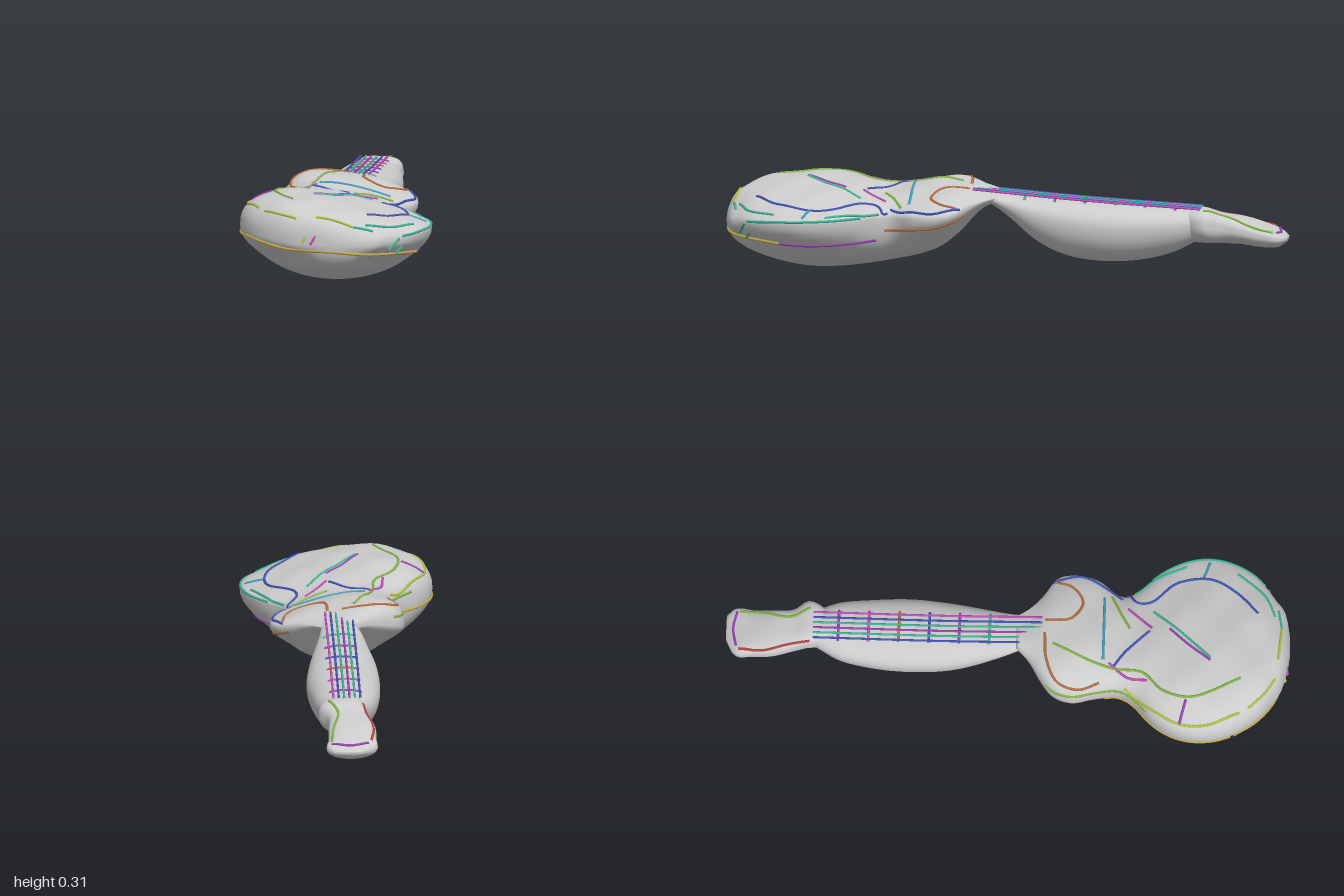
import * as THREE from 'three';

// Stations along z: [z, xLeft, xRight, yTop, yWidest, yBottom, bowl width factor (default 1)]
const BODY = [
  [0.03, -0.05, 0.07, 0.275, 0.26, 0.24], [0.08, -0.10, 0.11, 0.285, 0.25, 0.22, 0.95],
  [0.12, -0.16, 0.16, 0.295, 0.235, 0.185, 0.86], [0.16, -0.205, 0.225, 0.30, 0.22, 0.14, 0.8],
  [0.23, -0.225, 0.25, 0.30, 0.205, 0.082, 0.8], [0.31, -0.205, 0.235, 0.288, 0.2, 0.05, 0.87],
  [0.40, -0.19, 0.18, 0.274, 0.195, 0.028, 1.04], [0.45, -0.215, 0.20, 0.274, 0.195, 0.018, 1.04],
  [0.52, -0.285, 0.265, 0.284, 0.195, 0.008, 0.96], [0.60, -0.33, 0.315, 0.292, 0.195, 0.001, 0.94],
  [0.70, -0.342, 0.338, 0.294, 0.193, 0.002, 0.92], [0.80, -0.315, 0.318, 0.291, 0.188, 0.018, 0.85],
  [0.88, -0.26, 0.27, 0.28, 0.18, 0.042, 0.77], [0.94, -0.19, 0.20, 0.26, 0.172, 0.068, 0.7],
  [0.98, -0.11, 0.14, 0.23, 0.167, 0.105, 0.75], [0.994, -0.04, 0.07, 0.2, 0.165, 0.135, 0.85],
];
const NECK = [
  [-0.70, -0.035, 0.07, 0.222, 0.18, 0.125], [-0.66, -0.055, 0.095, 0.227, 0.175, 0.105],
  [-0.60, -0.085, 0.12, 0.232, 0.17, 0.075], [-0.50, -0.105, 0.135, 0.238, 0.165, 0.046],
  [-0.35, -0.115, 0.145, 0.248, 0.165, 0.034], [-0.20, -0.108, 0.13, 0.256, 0.18, 0.056],
  [-0.10, -0.09, 0.11, 0.262, 0.2, 0.105], [0.0, -0.068, 0.085, 0.27, 0.235, 0.19],
  [0.06, -0.05, 0.075, 0.276, 0.255, 0.232], [0.12, -0.04, 0.07, 0.282, 0.265, 0.24],
];
const HEAD = [
  [-0.997, -0.02, 0.07, 0.138, 0.128, 0.118], [-0.97, -0.07, 0.095, 0.152, 0.128, 0.098],
  [-0.90, -0.08, 0.09, 0.175, 0.135, 0.093], [-0.83, -0.08, 0.087, 0.195, 0.15, 0.102],
  [-0.76, -0.062, 0.088, 0.213, 0.16, 0.105], [-0.71, -0.05, 0.117, 0.23, 0.17, 0.108],
  [-0.67, -0.045, 0.105, 0.23, 0.175, 0.11], [-0.63, -0.03, 0.07, 0.225, 0.18, 0.125],
];

const grey = new THREE.MeshStandardMaterial({ color: 0xcccccc });

// Smooth surface through the stations; power flattens the top, tilt drops it towards +x
function makeSurface(rows, power, tilt, ripple) {
  const values = rows.flatMap(([, l, r, top, mid, bottom, bowl = 1]) => [l, r, top, mid, bottom, bowl]);
  const spline = new THREE.CubicInterpolant(rows.map(r => r[0]), values, 6);
  const z0 = rows[0][0], z1 = rows.at(-1)[0];
  const at = z => Array.from(spline.evaluate(THREE.MathUtils.clamp(z, z0, z1)));
  const point = (z, a) => {
    const [l, r, top, mid, bottom, bowl] = at(z);
    const c = Math.cos(a), s = Math.sin(a), cx = (l + r) / 2, hw = (r - l) / 2;
    if (s < 0) {
      const inset = 1 + (bowl - 1) * THREE.MathUtils.smoothstep(-s, 0.1, 0.7);
      return new THREE.Vector3(cx + hw * c * inset, mid + (mid - bottom) * s, z);
    }
    const x = cx + hw * Math.sign(c) * Math.abs(c) ** (2 / power);
    const lift = s ** (2 / power);
    const bumps = ripple * Math.sin(23 * x + 2) * Math.sin(27 * z);
    const drop = tilt * x * (1 + 0.8 * x);
    return new THREE.Vector3(x, mid + (top - mid - drop + bumps) * lift, z);
  };
  const topAt = (x, z) => {
    const [l, r] = at(z);
    const u = THREE.MathUtils.clamp((2 * x - l - r) / (r - l), -0.97, 0.97);
    return point(z, Math.acos(Math.sign(u) * Math.abs(u) ** (power / 2)));
  };
  return { z0, z1, point, topAt };
}

function loft(name, surface, rings, sides = 56) {
  const pos = [], idx = [];
  for (let i = 0; i <= rings; i++) {
    const z = THREE.MathUtils.lerp(surface.z0, surface.z1, i / rings);
    for (let j = 0; j < sides; j++) pos.push(...surface.point(z, j / sides * Math.PI * 2).toArray());
  }
  for (let i = 0; i < rings; i++) for (let j = 0; j < sides; j++) {
    const a = i * sides + j, b = i * sides + (j + 1) % sides;
    idx.push(a, b, a + sides, b, b + sides, a + sides);
  }
  // End caps
  for (const end of [0, rings]) {
    const z = end ? surface.z1 : surface.z0, centre = pos.length / 3;
    pos.push(...surface.point(z, 0).add(surface.point(z, Math.PI)).multiplyScalar(0.5).toArray());
    for (let j = 0; j < sides; j++) {
      const a = end * sides + j, b = end * sides + (j + 1) % sides;
      idx.push(centre, end ? a : b, end ? b : a);
    }
  }
  const g = new THREE.BufferGeometry();
  g.setAttribute('position', new THREE.Float32BufferAttribute(pos, 3));
  g.setIndex(idx);
  g.computeVertexNormals();
  const mesh = new THREE.Mesh(g, grey);
  mesh.name = name;
  return mesh;
}

const C = { blue: 0x4455b5, teal: 0x42b59a, cyan: 0x43a0bd, purple: 0x9b45b5, magenta: 0xc04fb8,
  green: 0x83b545, lime: 0xb5c542, yellow: 0xc4a845, orange: 0xb56f42, red: 0xb54848 };
const paints = Object.fromEntries(Object.entries(C).map(
  ([k, color]) => [k, new THREE.MeshStandardMaterial({ color })]));

function stroke(name, color, points, radius = 0.005) {
  const curve = new THREE.CatmullRomCurve3(points);
  const mesh = new THREE.Mesh(new THREE.TubeGeometry(curve, points.length * 4, radius, 6), paints[color]);
  mesh.name = name;
  return mesh;
}

export function createModel() {
  const model = new THREE.Group();
  const body = makeSurface(BODY, 2.5, 0.17, 0.005);
  const neck = makeSurface(NECK, 2.2, 0, 0);
  const head = makeSurface(HEAD, 3.2, 0.04, 0.004);
  model.add(loft('body', body, 90), loft('neck', neck, 50), loft('headstock', head, 36));

  // Lines drawn over the top of a surface, given as [x, z] points
  const drawOn = (surface, name, color, pts) => {
    const path = new THREE.CatmullRomCurve3(pts.map(([x, z]) => new THREE.Vector3(x, 0, z)));
    model.add(stroke(name, color, path.getPoints(pts.length * 4).map(p => surface.topAt(p.x, p.z))));
  };
  const bodyLines = [
    ['blue', [[0.21, 0.41], [0.15, 0.45], [0.15, 0.5], [0.23, 0.59], [0.25, 0.7], [0.2, 0.8], [0.12, 0.88]]],
    ['blue', [[0.21, 0.15], [0.24, 0.25], [0.2, 0.34], [0.16, 0.4]]],
    ['orange', [[0.05, 0.13], [0.06, 0.22], [0.13, 0.26], [0.19, 0.22], [0.21, 0.16]]],
    ['orange', [[0, 0.13], [-0.1, 0.14], [-0.18, 0.18], [-0.2, 0.25], [-0.17, 0.33]]],
    ['green', [[-0.04, 0.16], [-0.09, 0.27], [-0.12, 0.38], [-0.13, 0.48], [-0.2, 0.56], [-0.22, 0.66], [-0.14, 0.83]]],
    ['lime', [[-0.18, 0.42], [-0.26, 0.52], [-0.31, 0.62], [-0.31, 0.72], [-0.26, 0.83]]],
    ['lime', [[-0.24, 0.86], [-0.18, 0.915], [-0.12, 0.95]]],
    ['teal', [[0.12, 0.94], [0.2, 0.9], [0.28, 0.8]]],
    ['teal', [[0.19, 0.44], [0.25, 0.52], [0.3, 0.62]]],
    ['purple', [[-0.31, 0.62], [-0.23, 0.64]]], ['cyan', [[0.25, 0.68], [0.32, 0.7]]],
    ['purple', [[-0.08, 0.72], [-0.02, 0.64], [0.04, 0.57]]],
    ['teal', [[-0.07, 0.72], [0.02, 0.62], [0.11, 0.51]]],
    ['blue', [[-0.11, 0.38], [-0.05, 0.42], [0.03, 0.5]]],
    ['green', [[0.17, 0.36], [0.09, 0.4], [0.04, 0.43]]],
    ['magenta', [[0.04, 0.51], [0.12, 0.42]]], ['cyan', [[-0.09, 0.34], [0.16, 0.335]]],
    ['magenta', [[-0.1, 0.36], [-0.15, 0.43], [-0.16, 0.5]]],
    ['lime', [[-0.05, 0.958], [0.08, 0.965]]], ['teal', [[0.08, 0.965], [0.15, 0.95]]],
  ];
  bodyLines.forEach(([color, pts], i) => drawOn(body, `bodyLine${i + 1}`, color, pts));

  // Lines round the sides of the body
  const sideLine = (name, color, angle, from, to) => {
    const pts = [];
    for (let i = 0; i <= 12; i++) pts.push(body.point(THREE.MathUtils.lerp(from, to, i / 12), angle));
    model.add(stroke(name, color, pts));
  };
  sideLine('rightRimLine', 'yellow', Math.PI * 1.04, 0.35, 0.8);
  sideLine('leftRimLine', 'purple', -0.45, 0.45, 0.85);
  sideLine('leftUpperRimLine', 'teal', 0.15, 0.5, 0.9);
  sideLine('rightShoulderLine', 'green', Math.PI * 0.92, 0.14, 0.5);
  sideLine('leftShoulderLine', 'orange', -0.25, 0.14, 0.42);
  const v = (x, y, z) => new THREE.Vector3(x, y, z);
  model.add(stroke('frontRimLine', 'yellow', [v(-0.31, 0.17, 0.81), v(-0.25, 0.16, 0.89),
    v(-0.16, 0.145, 0.953), v(0, 0.14, 0.992), v(0.12, 0.13, 0.975), v(0.2, 0.125, 0.92), v(0.29, 0.115, 0.78)]));

  // Short dashes on the front end
  const dashes = [['lime', v(-0.1, 0.17, 0.985), v(-0.07, 0.22, 0.975)], ['magenta', v(-0.07, 0.165, 0.992), v(-0.035, 0.22, 0.982)],
    ['teal', v(0.205, 0.14, 0.933), v(0.24, 0.18, 0.908)], ['teal', v(0.225, 0.125, 0.905), v(0.25, 0.148, 0.89)]];
  dashes.forEach(([color, a, b], i) => model.add(stroke(`frontDash${i + 1}`, color, [a, b])));

  // Strings
  ['blue', 'teal', 'purple', 'teal', 'blue', 'magenta'].forEach((color, i) => {
    const x = -0.035 + i * 0.019;
    model.add(stroke(`string${i + 1}`, color, [v(x, 0.287, 0.12), v(x, 0.256, -0.25), v(x + 0.003, 0.23, -0.69)], 0.004));
  });

  // Frets
  ['purple', 'magenta', 'orange', 'blue', 'purple', 'teal'].forEach((color, i) => {
    const z = -0.6 + i * 0.107;
    drawOn(neck, `fret${i + 1}`, color, [[-0.04, z], [0.015, z], [0.075, z]]);
  });

  // Headstock outline
  drawOn(head, 'headRightLine', 'red', [[-0.04, -0.7], [-0.05, -0.77], [-0.07, -0.86], [-0.06, -0.95]]);
  drawOn(head, 'headLeftLine', 'green', [[0.08, -0.7], [0.05, -0.77], [0.07, -0.86], [0.08, -0.95]]);
  drawOn(head, 'headEndLine', 'purple', [[-0.05, -0.96], [0.02, -0.972], [0.08, -0.96]]);
  return model;
}
